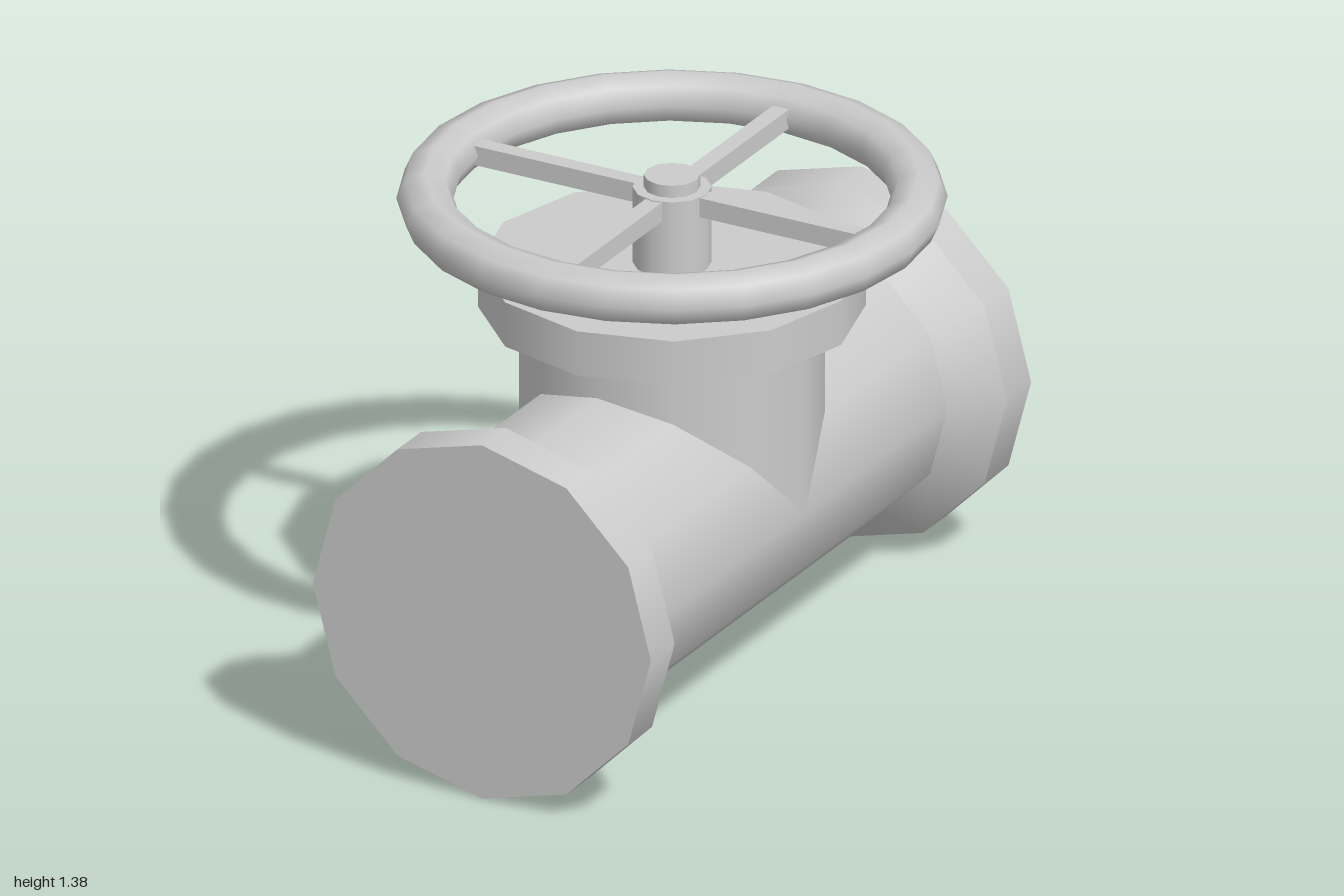
import * as THREE from 'three';

const SIDES = 12;
const PIPE_R = 0.394;
const FLANGE_R = 0.5;
const AXIS_Y = 0.5;
const WHEEL_Y = 1.308;

export function createModel() {
  const model = new THREE.Group();
  model.name = 'gateValve';
  const material = new THREE.MeshStandardMaterial({ color: 0xcccccc });

  const add = (parent, name, geometry) => {
    const mesh = new THREE.Mesh(geometry, material);
    mesh.name = name;
    parent.add(mesh);
    return mesh;
  };

  // Upright cylinder between two heights
  const column = (parent, name, radius, y0, y1) => add(parent, name,
    new THREE.CylinderGeometry(radius, radius, y1 - y0, SIDES).translate(0, (y0 + y1) / 2, 0));

  // Horizontal pipe along z
  add(model, 'mainPipe', new THREE.CylinderGeometry(PIPE_R, PIPE_R, 1.5, SIDES, 1, true)
    .rotateX(Math.PI / 2)).position.y = AXIS_Y;

  // Flared collar and closed flange at each end
  for (const [side, turn] of [['front', 0], ['back', Math.PI]]) {
    const end = new THREE.Group();
    end.name = side + 'End';
    add(end, 'collar', new THREE.CylinderGeometry(FLANGE_R, PIPE_R, 0.125, SIDES, 1, true)
      .rotateX(Math.PI / 2).translate(0, 0, 0.8125));
    add(end, 'flange', new THREE.CylinderGeometry(FLANGE_R, FLANGE_R, 0.125, SIDES)
      .rotateX(Math.PI / 2).translate(0, 0, 0.9375));
    end.position.y = AXIS_Y;
    end.rotation.y = turn;
    model.add(end);
  }

  // Vertical branch, bonnet flange and stem
  column(model, 'branchPipe', PIPE_R, AXIS_Y, 1);
  column(model, 'bonnetFlange', FLANGE_R, 1, 1.125);
  column(model, 'stem', 0.102, 1.125, 1.338);
  column(model, 'stemCap', 0.073, 1.338, 1.372);

  // Handwheel: slightly flattened rim and four spokes
  const wheel = new THREE.Group();
  wheel.name = 'handwheel';
  wheel.position.y = WHEEL_Y;
  model.add(wheel);
  add(wheel, 'rim', new THREE.TorusGeometry(0.637, 0.074, 8, 24)
    .rotateX(Math.PI / 2).scale(1, 0.93, 1));
  for (let i = 0; i < 4; i++) {
    add(wheel, 'spoke', new THREE.BoxGeometry(0.5, 0.054, 0.048)
      .translate(0.325, 0, 0)).rotation.y = i * Math.PI / 2;
  }

  return model;
}
